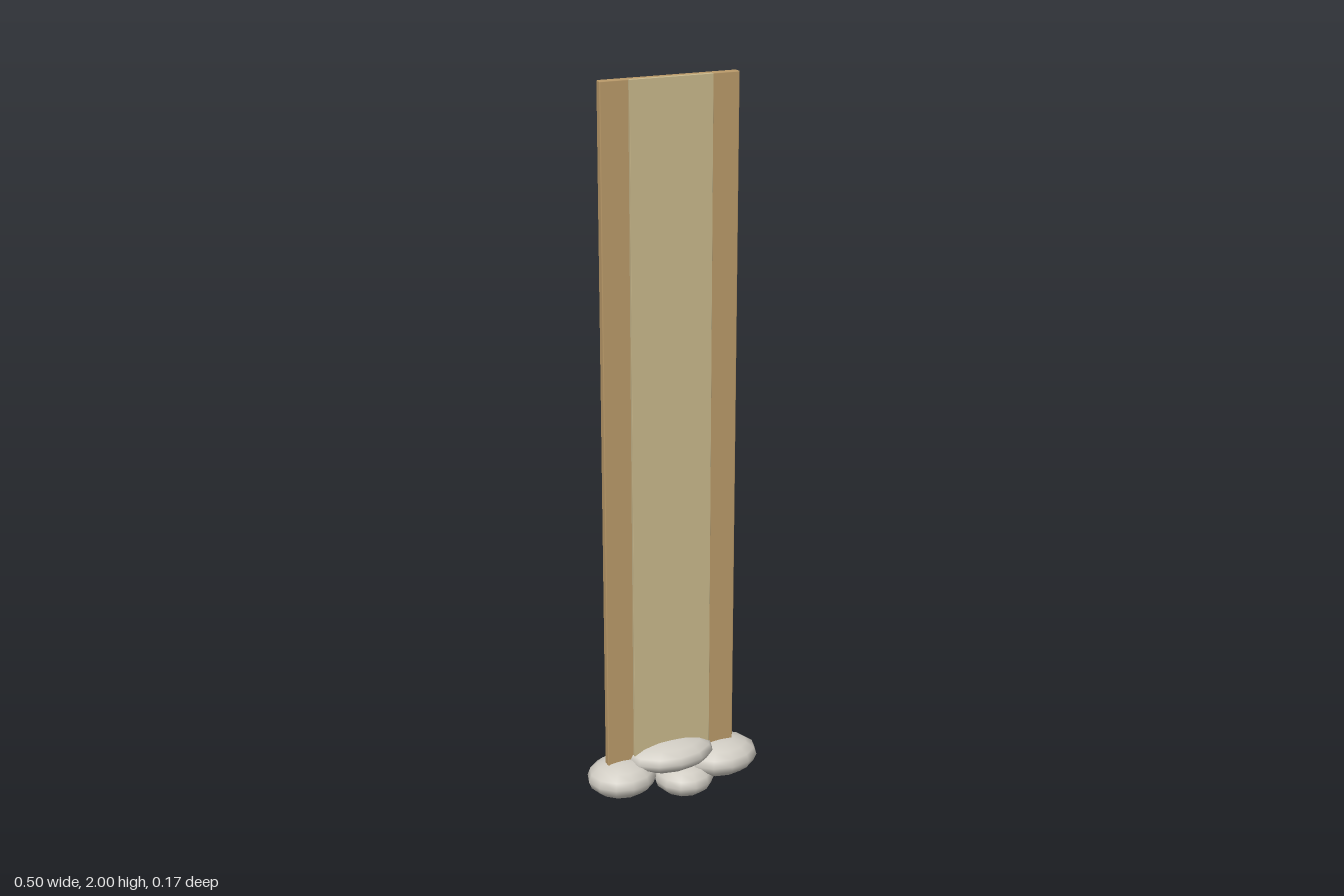
import * as THREE from 'three';
import { RoundedBoxGeometry } from 'three/addons/geometries/RoundedBoxGeometry.js';

export function createModel() {
  const model = new THREE.Group();
  const material = (name, color) => {
    const m = new THREE.MeshStandardMaterial({ color });
    m.name = name;
    return m;
  };
  const wood = material('wood', 0xba9a69);
  const paleWood = material('paleWood', 0xc9b88b);
  const stone = material('stone', 0xd0ccc3);

  // Box with small bevels, given by its limits on each axis
  const plank = (name, mat, [x0, x1], [y0, y1], [z0, z1], bevel) => {
    const mesh = new THREE.Mesh(new RoundedBoxGeometry(x1 - x0, y1 - y0, z1 - z0, 1, bevel), mat);
    mesh.position.set((x0 + x1) / 2, (y0 + y1) / 2, (z0 + z1) / 2);
    mesh.name = name;
    model.add(mesh);
  };

  // Tall board with a paler raised strip on its front
  plank('board', wood, [-0.199, 0.176], [0.1, 2], [-0.012, 0.01], 0.003);
  plank('frontStrip', paleWood, [-0.124, 0.1], [0.1, 2], [0.008, 0.0185], 0.001);

  // Flattened stones around the foot: centre x, centre y, half width, half height
  const stones = [
    ['leftStone', 0.143, 0.092, 0.108, 0.052],
    ['rightStone', -0.155, 0.092, 0.097, 0.052],
    ['topStone', -0.012, 0.135, 0.129, 0.046],
    ['bottomStone', 0.031, 0.051, 0.084, 0.049],
  ];
  for (const [name, x, y, rx, ry] of stones) {
    const geometry = new THREE.SphereGeometry(1, 12, 8).scale(rx, ry, 0.087);
    const mesh = new THREE.Mesh(geometry, stone);
    mesh.position.set(x, y, -0.001);
    mesh.name = name;
    model.add(mesh);
  }
  return model;
}
